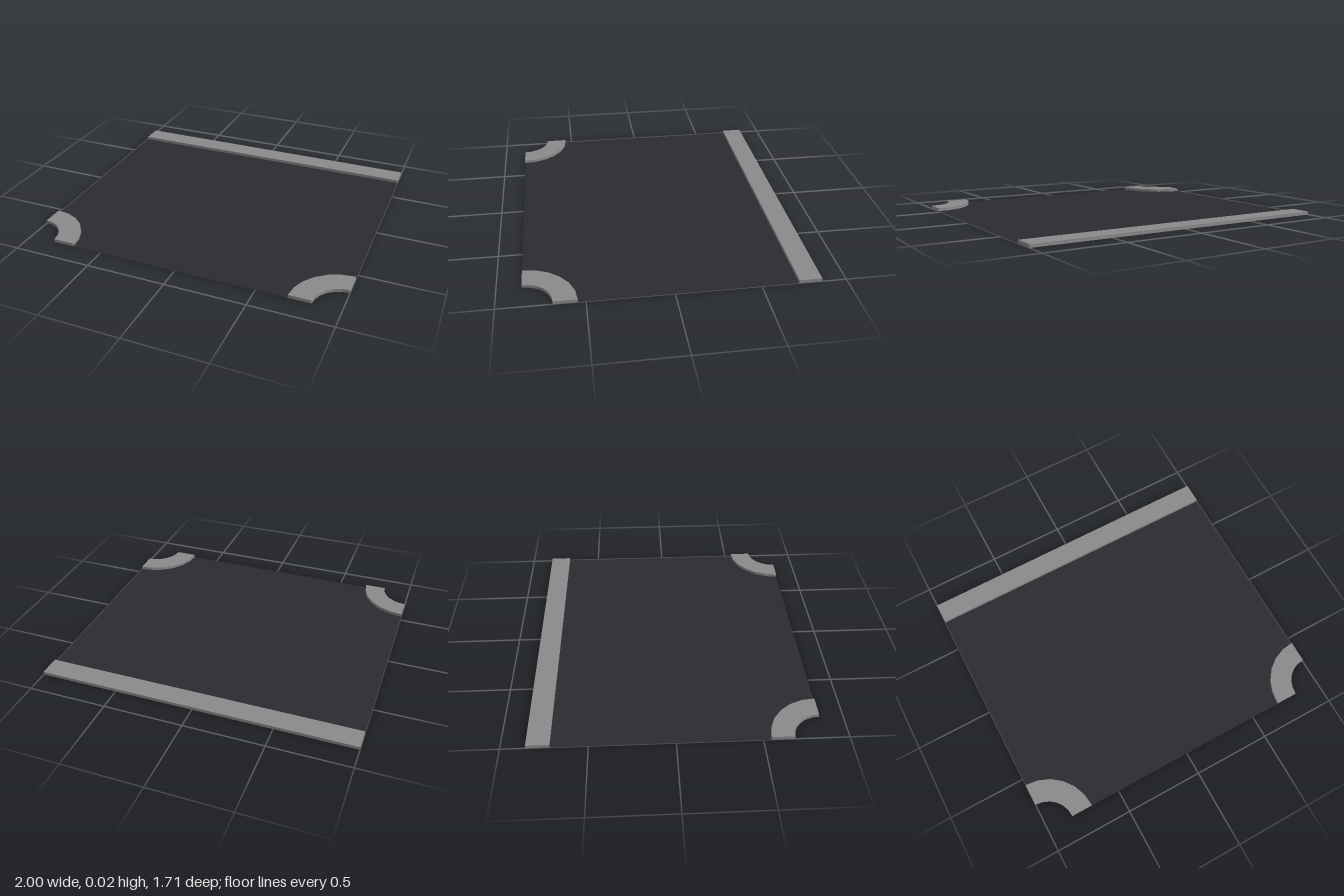
import * as THREE from 'three';
import { mergeGeometries } from 'three/addons/utils/BufferGeometryUtils.js';

const HALF_X = 1, HALF_Z = 0.855, KERB_Z = -0.72; // tile extents, inner edge of straight kerb
const R_IN = 0.172, R_OUT = 0.31, HEIGHT = 0.02, SEGMENTS = 6;

const kerbMaterial = new THREE.MeshStandardMaterial({ color: 0x8a8a8a, side: THREE.DoubleSide, flatShading: true });
const roadMaterial = new THREE.MeshStandardMaterial({ color: 0x2b2b31, side: THREE.DoubleSide });

// Outlines are [x, z] points, counter-clockwise seen from above.
function flatSheet(points, y) {
  const shape = new THREE.Shape(points.map(([x, z]) => new THREE.Vector2(x, -z)));
  return new THREE.ShapeGeometry(shape).rotateX(-Math.PI / 2).translate(0, y, 0);
}

// Top face and upright walls around an outline, open underneath
function kerbShell(points) {
  const walls = [];
  points.forEach(([ax, az], i) => {
    const [bx, bz] = points[(i + 1) % points.length];
    walls.push(ax, 0, az, bx, 0, bz, bx, HEIGHT, bz, ax, 0, az, bx, HEIGHT, bz, ax, HEIGHT, az);
  });
  const wall = new THREE.BufferGeometry();
  wall.setAttribute('position', new THREE.Float32BufferAttribute(walls, 3));
  wall.computeVertexNormals();
  const top = flatSheet(points, HEIGHT).toNonIndexed();
  top.deleteAttribute('uv');
  return mergeGeometries([top, wall]);
}

// Quarter arc at a front corner, from the front edge round to the side edge
function cornerArc(side, radius) {
  return Array.from({ length: SEGMENTS + 1 }, (_, i) => {
    const a = (i / SEGMENTS) * Math.PI / 2;
    return [side * (HALF_X - radius * Math.cos(a)), HALF_Z - radius * Math.sin(a)];
  });
}

export function createModel() {
  const group = new THREE.Group();
  const add = (name, geometry, material) => {
    const mesh = new THREE.Mesh(geometry, material);
    mesh.name = name;
    group.add(mesh);
  };

  // Thin road surface with both front corners cut away
  add('roadSurface', flatSheet([
    ...cornerArc(-1, R_OUT).reverse(),
    ...cornerArc(1, R_OUT),
    [HALF_X, KERB_Z], [-HALF_X, KERB_Z],
  ], 0), roadMaterial);

  // Straight kerb along the back
  add('backKerb', kerbShell([
    [-HALF_X, KERB_Z], [HALF_X, KERB_Z], [HALF_X, -HALF_Z], [-HALF_X, -HALF_Z],
  ]), kerbMaterial);

  // Curved kerbs at the front corners
  for (const side of [-1, 1]) {
    const ring = [...cornerArc(side, R_IN), ...cornerArc(side, R_OUT).reverse()];
    if (side < 0) ring.reverse();
    add(side < 0 ? 'rightCornerKerb' : 'leftCornerKerb', kerbShell(ring), kerbMaterial);
  }
  return group;
}
